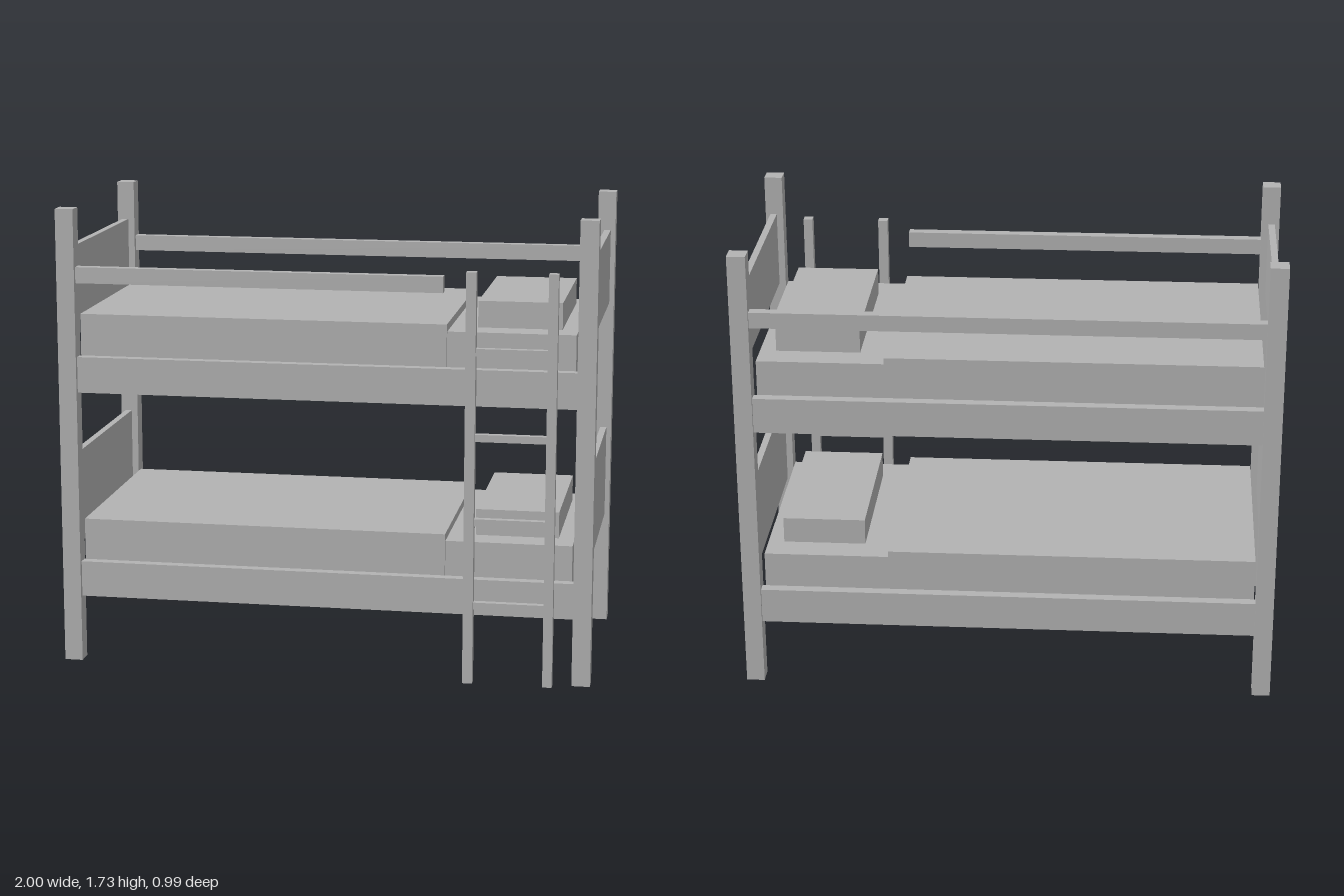
import * as THREE from 'three';

export function createModel() {
  const bed = new THREE.Group();
  bed.name = 'bunkBed';
  const grey = new THREE.MeshStandardMaterial({ color: 0xb2b2b2 });
  grey.name = 'plain grey';

  // Box given by its limits on each axis
  function box(parent, name, [x0, x1], [y0, y1], [z0, z1]) {
    const mesh = new THREE.Mesh(new THREE.BoxGeometry(x1 - x0, y1 - y0, z1 - z0), grey);
    mesh.position.set((x0 + x1) / 2, (y0 + y1) / 2, (z0 + z1) / 2);
    mesh.name = name;
    parent.add(mesh);
  }
  function group(name) {
    const g = new THREE.Group();
    g.name = name;
    bed.add(g);
    return g;
  }

  const frontPostZ = [0.395, 0.46], backPostZ = [-0.495, -0.427];
  const frontRailZ = [0.405, 0.443], backRailZ = [-0.483, -0.445];
  const span = [-0.932, 0.932];

  // Corner posts
  const posts = group('posts');
  for (const x of [[-1, -0.932], [0.932, 1]])
    for (const z of [frontPostZ, backPostZ]) box(posts, 'cornerPost', x, [0, 1.727], z);

  // Two bunks: side rails, end boards and bedding
  const bunks = [
    { name: 'lowerBunk', y: 0.25, boardBottom: 0.437 },
    { name: 'upperBunk', y: 1.037, boardBottom: 1.29 },
  ];
  for (const { name, y, boardBottom } of bunks) {
    const bunk = group(name);
    box(bunk, 'frontRail', span, [y, y + 0.135], frontRailZ);
    box(bunk, 'backRail', span, [y, y + 0.135], backRailZ);
    for (const [part, x] of [['footboard', [-0.982, -0.957]], ['headboard', [0.957, 0.982]]])
      box(bunk, part, x, [boardBottom, y + 0.541], [-0.427, 0.395]);
    box(bunk, 'mattress', [-0.917, 0.921], [y + 0.11, y + 0.264], [-0.434, 0.39]);
    box(bunk, 'blanket', [-0.927, 0.45], [y + 0.097, y + 0.292], [-0.444, 0.403]);
    box(bunk, 'pillow', [0.55, 0.861], [y + 0.264, y + 0.363], [-0.329, 0.282]);
  }

  // Guard rails, the front one stopping short for the ladder
  const guards = group('guardRails');
  box(guards, 'frontGuardRail', [-0.932, 0.44], [1.45, 1.51], frontRailZ);
  box(guards, 'backGuardRail', span, [1.45, 1.51], backRailZ);

  // Ladder
  const ladder = group('ladder');
  for (const x of [[0.53, 0.567], [0.827, 0.862]])
    box(ladder, 'ladderUpright', x, [0, 1.536], [0.459, 0.495]);
  for (let i = 0; i < 4; i++) {
    const y = 0.283 + i * 0.316;
    box(ladder, 'rung', [0.567, 0.827], [y, y + 0.027], [0.463, 0.489]);
  }
  return bed;
}
